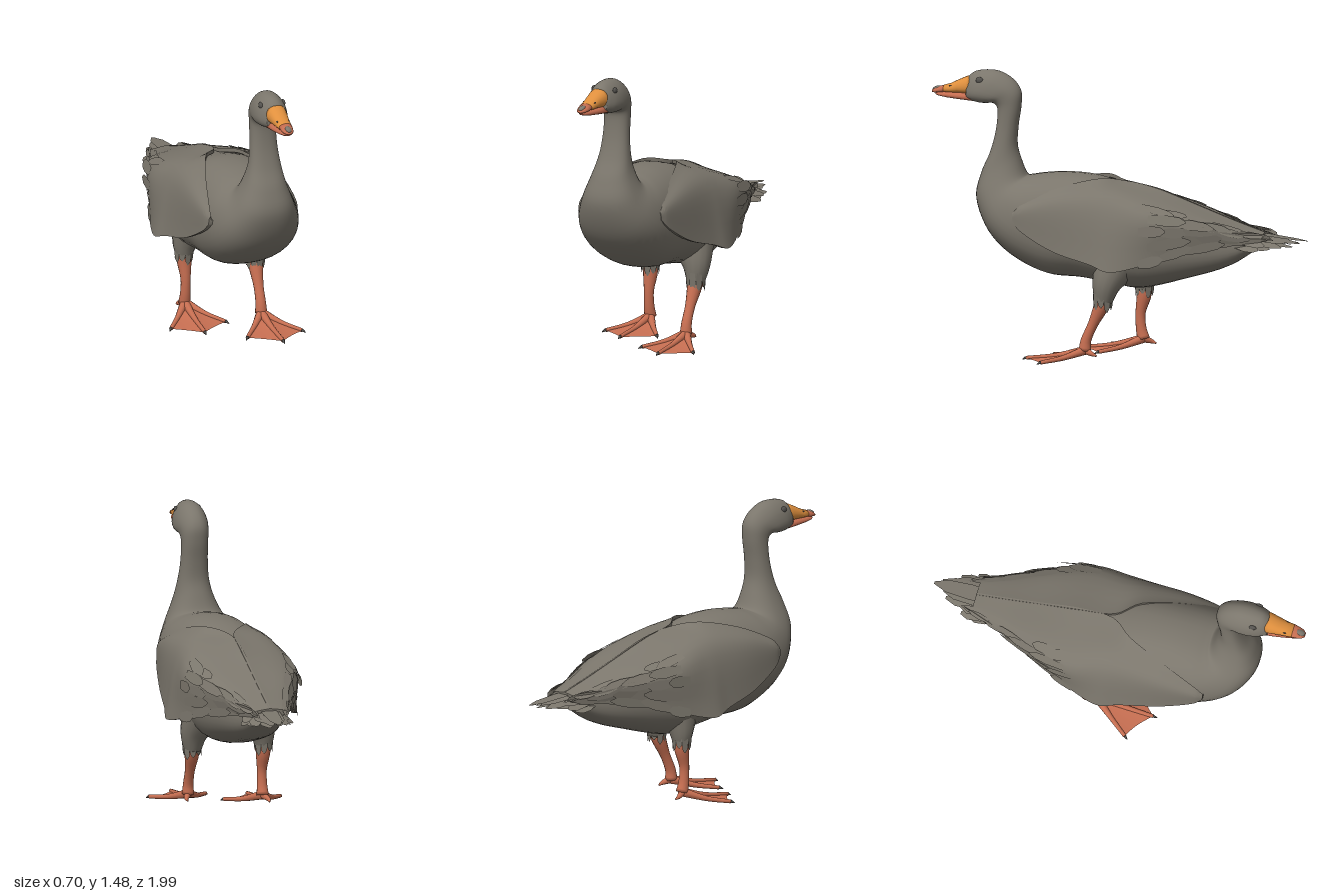
import * as THREE from 'three';
import { toCreasedNormals } from 'three/addons/utils/BufferGeometryUtils.js';

const V = (x, y, z) => new THREE.Vector3(x, y, z);
const curve = pts => new THREE.CatmullRomCurve3(pts, false, 'catmullrom', 0.5);
const mat = (name, color) => {
  const m = new THREE.MeshStandardMaterial({ color, side: THREE.DoubleSide });
  m.name = name;
  return m;
};

// Skin over a list of equal-length closed rings, with both ends capped
function loft(rings) {
  const n = rings[0].length, pos = [], idx = [];
  rings.forEach(r => r.forEach(p => pos.push(p.x, p.y, p.z)));
  for (let i = 0; i < rings.length - 1; i++)
    for (let j = 0; j < n; j++) {
      const a = i * n + j, b = i * n + (j + 1) % n;
      idx.push(a, b, a + n, b, b + n, a + n);
    }
  [0, rings.length - 1].forEach(i => {
    const c = rings[i].reduce((s, p) => s.add(p), V(0, 0, 0)).divideScalar(n);
    const k = pos.length / 3;
    pos.push(c.x, c.y, c.z);
    for (let j = 0; j < n; j++) {
      const a = i * n + j, b = i * n + (j + 1) % n;
      i === 0 ? idx.push(k, b, a) : idx.push(k, a, b);
    }
  });
  const g = new THREE.BufferGeometry();
  g.setAttribute('position', new THREE.Float32BufferAttribute(pos, 3));
  g.setIndex(idx);
  g.computeVertexNormals();
  return g;
}

// Ring between a dorsal and a ventral point, half-width w, narrower on top by pear
function ring(d, v, w, n, pear) {
  const c = d.clone().add(v).multiplyScalar(0.5), h = d.clone().sub(c);
  const soft = t => Math.sign(t) * Math.abs(t) ** 0.87;
  return Array.from({ length: n }, (_, j) => {
    const a = j / n * Math.PI * 2, up = Math.cos(a);
    return c.clone().addScaledVector(h, soft(up)).add(V(w * soft(Math.sin(a)) * (1 - pear * up), 0, 0));
  });
}

// Round tapering limb through points [x, y, z, radius]
function limb(pts, n = 14, steps = 14) {
  const path = curve(pts.map(p => V(p[0], p[1], p[2])));
  const rad = curve(pts.map(p => V(p[3], 0, 0)));
  return loft(Array.from({ length: steps + 1 }, (_, i) => {
    const t = i / steps, c = path.getPoint(t), dir = path.getTangent(t), r = rad.getPoint(t).x;
    const side = V(1, 0, 0).addScaledVector(dir, -dir.x).normalize();
    const up = dir.clone().cross(side);
    return Array.from({ length: n }, (_, j) => {
      const a = j / n * Math.PI * 2;
      return c.clone().addScaledVector(side, r * Math.cos(a)).addScaledVector(up, r * Math.sin(a));
    });
  }));
}

// Flat pointed blade from root to tip
function feather(root, tip, across, width) {
  const pos = [];
  [[0, 0.35], [0.5, 0.5], [0.82, 0.4], [1, 0.08]].forEach(([t, w]) => [-1, 1].forEach(s => {
    const p = root.clone().lerp(tip, t).addScaledVector(across, s * w * width);
    pos.push(p.x, p.y, p.z);
  }));
  const g = new THREE.BufferGeometry();
  g.setAttribute('position', new THREE.Float32BufferAttribute(pos, 3));
  g.setIndex([0, 1, 2, 1, 3, 2, 2, 3, 4, 3, 5, 4, 4, 5, 6, 5, 7, 6]);
  g.computeVertexNormals();
  return g;
}

export function createModel() {
  const grey = mat('plumageGrey', 0x7b766c), salmon = mat('legSalmon', 0xc66e51);
  const orange = mat('billOrange', 0xe0903e), dark = mat('darkGrey', 0x55534f);
  const model = new THREE.Group();
  const add = (name, geo, m, parent = model) => {
    const mesh = new THREE.Mesh(geo, m);
    mesh.name = name;
    parent.add(mesh);
    return mesh;
  };
  const HX = 0.025; // the head and neck sit slightly to one side

  // Body, neck and head: dorsal z, y, ventral z, y, half-width
  const sections = [
    [-.80, .665, -.77, .635, .05], [-.6, .71, -.58, .51, .11], [-.4, .785, -.35, .435, .175],
    [-.2, .86, -.12, .38, .23], [0, .915, .04, .40, .258], [.15, .955, .2, .425, .262],
    [.3, .965, .38, .44, .255], [.42, .955, .56, .525, .24], [.48, .945, .69, .65, .205],
    [.503, .95, .76, .82, .152], [.53, 1.02, .737, .95, .108], [.55, 1.1, .69, 1.06, .083],
    [.545, 1.2, .66, 1.17, .071], [.53, 1.3, .65, 1.28, .069], [.53, 1.38, .67, 1.315, .074],
    [.57, 1.44, .71, 1.315, .082], [.64, 1.48, .74, 1.315, .083], [.71, 1.487, .77, 1.32, .077],
    [.77, 1.477, .795, 1.325, .064], [.805, 1.452, .812, 1.33, .052],
  ];
  const xAt = i => HX * THREE.MathUtils.clamp((i - 5) / 6, 0, 1);
  const dorsal = curve(sections.map((s, i) => V(xAt(i), s[1], s[0])));
  const ventral = curve(sections.map((s, i) => V(xAt(i), s[3], s[2])));
  const widths = curve(sections.map(s => V(s[4], 0, 0)));
  add('body', loft(Array.from({ length: 96 }, (_, i) => {
    const t = i / 95, pear = .08 + .17 * THREE.MathUtils.smoothstep(t, .68, .82);
    return ring(dorsal.getPoint(t), ventral.getPoint(t), widths.getPoint(t).x, 36, pear);
  })), grey);

  // Bill: z, top y, bottom y, half-width
  const bill = rows => loft(rows.map(([z, t, b, w]) => ring(V(HX, t, z), V(HX, b, z), w, 20, .12)));
  add('upperBill', bill([[.785, 1.456, 1.355, .055], [.81, 1.452, 1.358, .053], [.86, 1.43, 1.362, .045],
    [.90, 1.41, 1.362, .039], [.935, 1.4, 1.364, .036]]), orange);
  add('billTip', bill([[.935, 1.4, 1.364, .036], [.965, 1.39, 1.36, .031], [.985, 1.383, 1.358, .025],
    [1, 1.372, 1.36, .012]]), salmon);
  add('lowerBill', bill([[.78, 1.37, 1.322, .052], [.85, 1.368, 1.328, .044], [.92, 1.366, 1.335, .033],
    [.965, 1.362, 1.343, .024], [.98, 1.36, 1.348, .012]]), salmon);
  const nail = add('billNail', new THREE.SphereGeometry(0.016, 12, 8), grey);
  nail.position.set(HX, 1.381, .974);
  nail.scale.set(1.1, .75, 1.6);
  nail.rotation.x = .3;

  // Eyes and nostrils
  [-1, 1].forEach(s => {
    const eye = add('eye', new THREE.SphereGeometry(0.02, 16, 12), dark);
    eye.position.set(HX + s * .062, 1.438, .735);
    eye.scale.set(.5, .85, 1);
    const nostril = add('nostril', new THREE.SphereGeometry(0.01, 10, 8), dark);
    nostril.position.set(HX + s * .032, 1.4, .895);
    nostril.scale.set(.4, .4, 1);
  });

  // Folded wings: z, then x, y of inner edge, shoulder and lower edge
  const wingRows = [
    [.525, .232, .78, .242, .765, .245, .735], [.47, .222, .83, .258, .785, .265, .68],
    [.3, .175, .905, .268, .82, .295, .59], [.1, .10, .95, .262, .84, .325, .535],
    [-.02, .012, .932, .258, .845, .345, .50], [-.2, -.005, .895, .278, .80, .30, .54],
    [-.4, -.005, .82, .22, .765, .222, .60], [-.6, -.005, .745, .14, .71, .14, .64],
    [-.76, -.005, .69, .085, .675, .085, .65],
  ];
  const edges = [1, 3, 5].map(k => curve(wingRows.map(r => V(r[k], r[k + 1], r[0]))));
  const onWing = (s, u) => curve(edges.map(e => e.getPoint(s))).getPoint(u);
  const wingGeo = toCreasedNormals(loft(Array.from({ length: 41 }, (_, i) => {
    const s = i / 40, outer = [], inner = [];
    for (let j = 0; j <= 12; j++) {
      const p = onWing(s, j / 12);
      outer.push(p);
      inner.unshift(p.clone().add(V(-.022 * Math.min(1, j / 6), -.02 * (1 - j / 12), 0)));
    }
    return outer.concat(inner);
  })), 0.8);

  [1, -1].forEach(side => {
    const wing = new THREE.Group();
    wing.name = side > 0 ? 'leftWing' : 'rightWing';
    wing.scale.x = side;
    model.add(wing);
    add('wingCover', wingGeo, grey, wing);
    // Overlapping flight feathers towards the rear, with ragged lifted tips
    [.42, .56, .7, .84, .98].forEach((u, r) => {
      for (let i = 0; i < 5; i++) {
        const s = .6 + i * .07 + (r % 2) * .03;
        const root = onWing(s, u).add(V(.002, .001, 0));
        const dir = onWing(s + .05, u).sub(onWing(s, u)).normalize();
        const across = onWing(s, Math.min(1, u + .04)).sub(onWing(s, u - .04)).normalize();
        const length = .18 + .05 * Math.sin(i * 5.1 + r * 2.7);
        const tip = root.clone().addScaledVector(dir, length);
        tip.add(V(.008 + .006 * Math.sin(i * 2 + r), .012 * Math.sin(i * 3 + r), 0));
        add('flightFeather', feather(root, tip, across, .06 - i * .005), grey, wing);
      }
    });
  });

  // Tail fan in two roof-shaped layers
  for (let layer = 0; layer < 2; layer++)
    for (let i = -4; i <= 4; i++) {
      const f = i / 4, jag = .02 * Math.sin(i * 3.7 + layer);
      const root = V(.06 * f, .695 - layer * .035 - .03 * Math.abs(f), -.6);
      const tip = V(.012 + .11 * f, .65 - layer * .015 - .025 * Math.abs(f) + jag * .4,
        -.99 + .19 * Math.abs(f) + layer * .05 + (i ? jag : 0));
      add('tailFeather', feather(root, tip, V(1, -.45 * f, 0).normalize(), .085), grey);
    }

  // Legs: grey thigh, shank, webbed foot; one strides ahead of the other
  function leg(name, x, thigh, shank, ankle, toeY, out) {
    const g = new THREE.Group();
    g.name = name;
    model.add(g);
    add('thigh', limb(thigh), grey, g);
    add('shank', limb(shank), salmon, g);
    // Ragged cuff where the plumage ends
    const [cx, cy, cz, cr] = thigh[thigh.length - 1];
    for (let i = 0; i < 9; i++) {
      const a = i / 9 * Math.PI * 2, d = V(Math.cos(a), 0, Math.sin(a));
      add('cuffFeather', feather(V(cx, cy + .06, cz).addScaledVector(d, cr * 1.15),
        V(cx, cy - .02 - .012 * (i % 3), cz).addScaledVector(d, cr), V(-d.z, 0, d.x), .035), grey, g);
    }
    // Toes with claws, inner to outer
    const toes = [[-.15 * out, .2], [.005 * out, .31], [.15 * out, .2]].map(([dx, dz]) => {
      const tip = V(x + dx, toeY, ankle.z + dz);
      const mid = ankle.clone().lerp(tip, .5);
      mid.y = toeY + (ankle.y - toeY) * .36;
      add('toe', limb([[ankle.x, ankle.y, ankle.z, .024], [mid.x, mid.y, mid.z, .014],
        [tip.x, tip.y + .002, tip.z, .01]], 10, 10), salmon, g);
      const d = tip.clone().sub(ankle).setY(0).normalize();
      const end = tip.clone().addScaledVector(d, .022);
      add('claw', limb([[tip.x, tip.y + .004, tip.z, .009], [end.x, toeY - .006, end.z, .002]], 8, 3), dark, g);
      return curve([ankle, mid, tip]);
    });
    // Web stretched between neighbouring toes, its front edge slightly hollowed
    for (let k = 0; k < 2; k++) {
      const web = new THREE.PlaneGeometry(1, 1, 8, 10), p = web.attributes.position;
      for (let i = 0; i < p.count; i++) {
        const u = p.getX(i) + .5, t = (p.getY(i) + .5) * (1 - .04 * Math.sin(Math.PI * u));
        const q = toes[k].getPoint(t).lerp(toes[k + 1].getPoint(t), u);
        p.setXYZ(i, q.x, q.y - .004 * Math.sin(Math.PI * u) * t, q.z);
      }
      web.computeVertexNormals();
      add('web', web, salmon, g);
    }
    // Hind toe
    add('hindToe', limb([[ankle.x, ankle.y, ankle.z, .02], [ankle.x + .02 * out, ankle.y - .015, ankle.z - .04, .012],
      [ankle.x + .02 * out, ankle.y - .025, ankle.z - .065, .004]], 10, 6), salmon, g);
  }
  leg('leftLeg', .185, [[.13, .53, -.01, .125], [.18, .42, .035, .078], [.188, .315, .055, .045]],
    [[.19, .36, .045, .04], [.187, .29, .068, .038], [.185, .2, .11, .026], [.184, .12, .145, .027], [.184, .065, .152, .032]],
    V(.184, .065, .15), .014, 1);
  leg('rightLeg', -.152, [[-.11, .53, -.07, .12], [-.147, .42, -.08, .07], [-.155, .345, -.082, .044]],
    [[-.155, .38, -.082, .04], [-.153, .31, -.08, .038], [-.152, .22, -.062, .026], [-.152, .14, -.065, .027], [-.152, .085, -.078, .032]],
    V(-.152, .085, -.075), .028, -1);

  return model;
}
